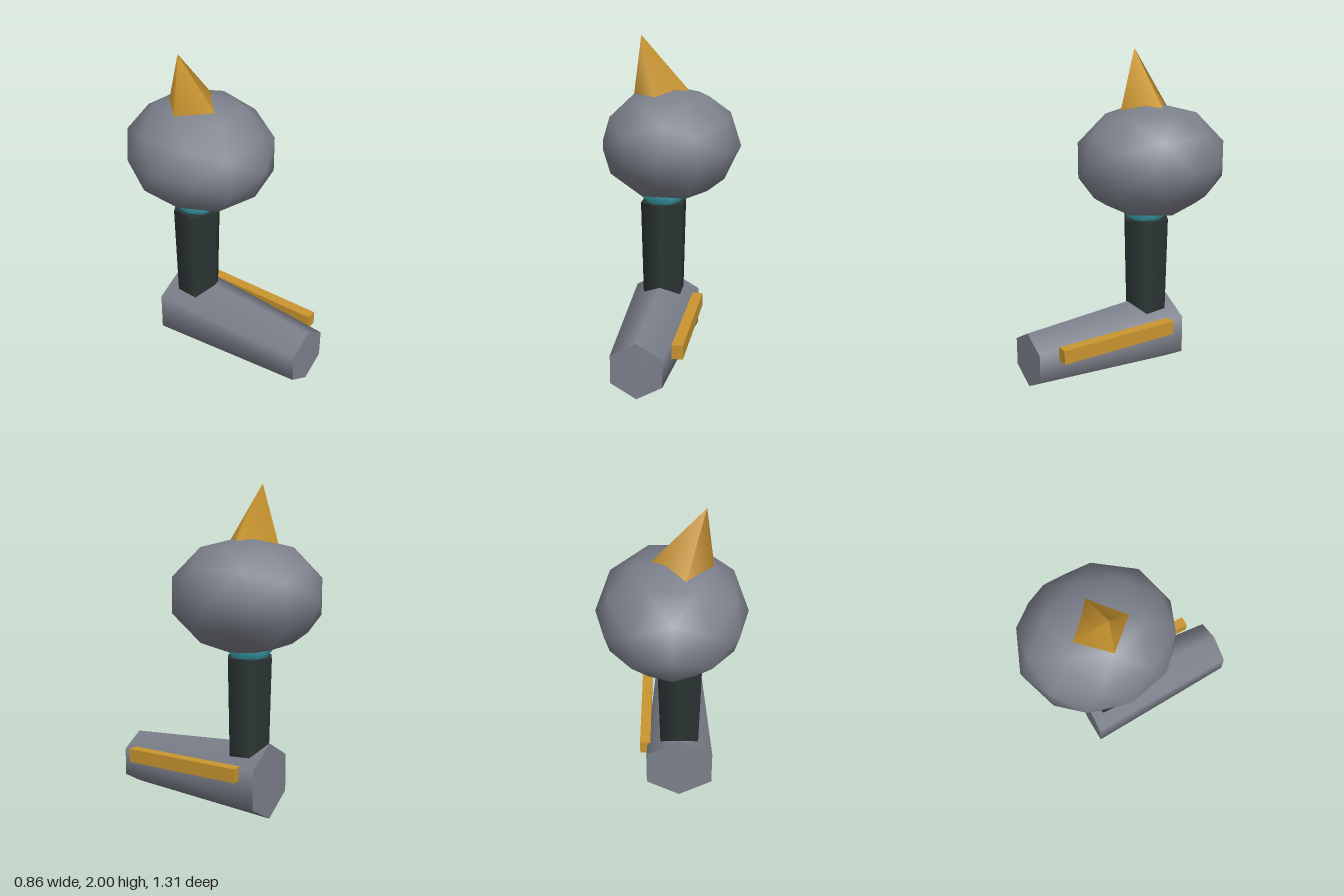
import * as THREE from 'three';

export function createModel() {
  const group = new THREE.Group();
  group.name = 'model';

  const material = (name, color) => {
    const m = new THREE.MeshStandardMaterial({ color });
    m.name = name;
    return m;
  };
  const grey = material('grey', 0x7d818c);
  const gold = material('gold', 0xc9952f);
  const dark = material('dark', 0x2b3634);
  const cyan = material('cyan', 0x45bccb);

  const add = (name, geometry, mat, x, y, z) => {
    const mesh = new THREE.Mesh(geometry, mat);
    mesh.name = name;
    mesh.position.set(x, y, z);
    group.add(mesh);
    return mesh;
  };

  // Six-sided tapered barrel, narrow end to the front
  const barrel = add('barrel', new THREE.CylinderGeometry(0.171, 0.236, 0.98, 6), grey, -0.045, 0.238, 0.165);
  barrel.rotation.x = Math.PI / 2;

  // Bar beside the barrel
  add('sideRail', new THREE.BoxGeometry(0.065, 0.085, 0.77), gold, 0.168, 0.322, 0.16);

  // Six-sided post that sinks into the barrel
  add('post', new THREE.CylinderGeometry(0.149, 0.132, 0.74, 6), dark, -0.045, 0.62, -0.182);

  // Ball joint between post and head
  add('joint', new THREE.IcosahedronGeometry(0.162, 1), cyan, -0.045, 1.105, -0.18);

  // Faceted ellipsoid head
  const head = add('head', new THREE.IcosahedronGeometry(1, 1), grey, 0, 1.356, -0.184);
  head.scale.set(0.428, 0.347, 0.47);

  // Leaning four-sided spike, hung from its tip
  const h = 0.42;
  const lean = 0.3;
  const spike = add('spike', new THREE.ConeGeometry(h * 0.462, h, 4), gold,
    -0.18 + (h / 2) * Math.sin(lean), 2 - (h / 2) * Math.cos(lean), -0.184);
  spike.rotation.z = lean;

  return group;
}
